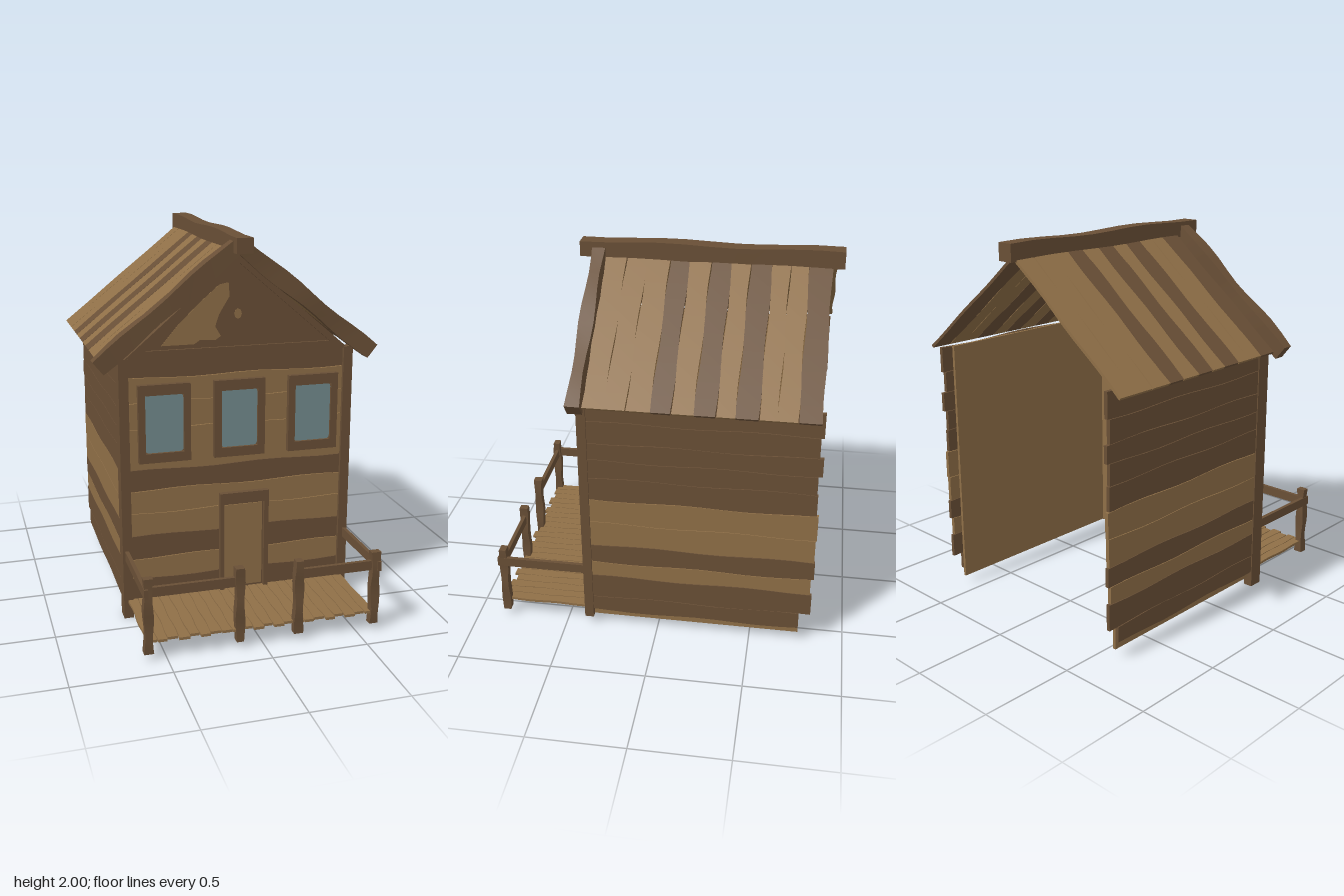
import * as THREE from 'three';

const mat = (name, color) => {
  const m = new THREE.MeshStandardMaterial({ color });
  m.name = name;
  return m;
};

export function createModel() {
  const root = new THREE.Group();
  root.name = 'cabin';
  const dark = mat('dark timber', 0x694f36);
  const tan = mat('light timber', 0x8f6f47);
  const glassMat = mat('window glass', 0x728b8e);

  const group = (name) => {
    const g = new THREE.Group();
    g.name = name;
    root.add(g);
    return g;
  };
  const add = (parent, name, geo, material, x, y, z) => {
    const m = new THREE.Mesh(geo, material);
    m.name = name;
    m.position.set(x, y, z);
    parent.add(m);
    return m;
  };
  const box = (parent, name, material, x0, x1, y0, y1, z0, z1) =>
    add(parent, name, new THREE.BoxGeometry(x1 - x0, y1 - y0, z1 - z0), material,
      (x0 + x1) / 2, (y0 + y1) / 2, (z0 + z1) / 2);

  // Rough-hewn timber: length on x, width on y, thickness on z, with wavy edges
  const timber = (length, width, thick, seed, amp = 0.005, ampZ = 0) => {
    const geo = new THREE.BoxGeometry(length, width, thick, 10, 1, 1);
    const p = geo.attributes.position;
    for (let i = 0; i < p.count; i++) {
      const x = p.getX(i), sy = Math.sign(p.getY(i)), sz = Math.sign(p.getZ(i));
      const t = (x / length) * 11;
      p.setY(i, p.getY(i) + amp * Math.sin(t + seed * 2.3 + sy * 1.1));
      p.setZ(i, p.getZ(i) + ampZ * sz * Math.sin(t + seed * 1.7));
    }
    geo.computeVertexNormals();
    return geo;
  };

  const shapeOf = (pts) => new THREE.Shape(pts.map(([x, y]) => new THREE.Vector2(x, y)));
  const extrude = (shape, depth) =>
    new THREE.ExtrudeGeometry(shape, { depth, bevelEnabled: false, curveSegments: 4 });

  // Inner walls, open at the back and below
  const walls = group('innerWalls');
  const frontShape = shapeOf([[-0.59, 0.05], [0.59, 0.05], [0.59, 1.4], [0, 1.88], [-0.59, 1.4]]);
  add(walls, 'frontInnerWall', extrude(frontShape, 0.015), tan, 0, 0, 0.345);
  for (const s of [-1, 1])
    box(walls, 'sideInnerWall', tan, s * 0.588 - 0.008, s * 0.588 + 0.008, 0.05, 1.385, -0.76, 0.36);

  // Side cladding: [bottom, top, dark, rear end]
  const sideRows = [
    [0.09, 0.185, 1, -0.76], [0.185, 0.32, 1, -0.82], [0.32, 0.41, 0, -0.81], [0.41, 0.52, 1, -0.825],
    [0.52, 0.66, 0, -0.82], [0.66, 0.8, 0, -0.825], [0.8, 0.93, 1, -0.815], [0.93, 1.035, 1, -0.81],
    [1.035, 1.135, 1, -0.83], [1.135, 1.255, 1, -0.81], [1.255, 1.385, 1, -0.825],
  ];
  const cladding = group('cladding');
  for (const s of [-1, 1])
    sideRows.forEach(([y0, y1, d, end], i) => {
      const m = add(cladding, 'sidePlank', timber(0.365 - end, y1 - y0 - 0.003, 0.02, i + s),
        d ? dark : tan, s * 0.606, (y0 + y1) / 2, (0.365 + end) / 2);
      m.rotation.y = Math.PI / 2;
    });

  // Front cladding: [bottom, top, dark]
  const frontRows = [
    [0.06, 0.21, 1], [0.21, 0.325, 0], [0.325, 0.45, 1], [0.45, 0.575, 0], [0.575, 0.7, 0],
    [0.7, 0.81, 1], [0.81, 1.03, 0], [1.03, 1.17, 0], [1.17, 1.295, 0], [1.295, 1.395, 1],
  ];
  frontRows.forEach(([y0, y1, d], i) =>
    add(cladding, 'frontPlank', timber(1.15, y1 - y0 - 0.003, 0.02, i), d ? dark : tan,
      0, (y0 + y1) / 2, 0.37));

  // Corner posts
  const posts = group('cornerPosts');
  box(posts, 'rightCornerPost', dark, -0.622, -0.572, 0, 1.4, 0.315, 0.395);
  box(posts, 'leftCornerPost', dark, 0.575, 0.625, 0.045, 1.4, 0.35, 0.398);

  // Framed opening with an inset panel
  const framed = (parent, name, x0, x1, y0, y1, ix0, ix1, iy0, iy1) => {
    const frame = shapeOf([[x0, y0], [x1, y0], [x1, y1], [x0, y1]]);
    frame.holes.push(new THREE.Path([[ix0, iy0], [ix0, iy1], [ix1, iy1], [ix1, iy0]]
      .map(([x, y]) => new THREE.Vector2(x, y))));
    add(parent, name, extrude(frame, 0.035), dark, 0, 0, 0.375);
  };

  // Windows with rounded panes
  for (const [cx, half] of [[-0.392, 0.1], [0.005, 0.097], [0.406, 0.099]]) {
    const g = group('window');
    framed(g, 'windowFrame', cx - 0.136, cx + 0.136, 0.855, 1.265, cx - half, cx + half, 0.905, 1.21);
    box(g, 'paneBacking', dark, cx - 0.11, cx + 0.11, 0.89, 1.23, 0.376, 0.39);
    const r = 0.02, a = cx - half, b = cx + half, c = 0.905, d = 1.21;
    const pane = new THREE.Shape();
    pane.moveTo(a + r, c).lineTo(b - r, c).quadraticCurveTo(b, c, b, c + r).lineTo(b, d - r);
    pane.quadraticCurveTo(b, d, b - r, d).lineTo(a + r, d).quadraticCurveTo(a, d, a, d - r);
    pane.lineTo(a, c + r).quadraticCurveTo(a, c, a + r, c);
    add(g, 'pane', extrude(pane, 0.006), glassMat, 0, 0, 0.39);
  }

  // Door
  const door = group('door');
  framed(door, 'doorFrame', -0.1, 0.168, 0.08, 0.65, -0.078, 0.143, 0.095, 0.588);
  box(door, 'doorBorder', dark, -0.08, 0.145, 0.09, 0.59, 0.376, 0.388);
  box(door, 'doorLeaf', tan, -0.07, 0.135, 0.115, 0.58, 0.388, 0.396);

  // Gable: panel, raised triangular trim and worn patches
  const gable = group('gable');
  const tri = [[-0.6, 1.39], [0.6, 1.39], [0, 1.9]];
  add(gable, 'gablePanel', extrude(shapeOf(tri), 0.02), dark, 0, 0, 0.36);
  const trim = shapeOf(tri);
  trim.holes.push(shapeOf([[-0.485, 1.435], [0, 1.86], [0.495, 1.435]]));
  add(gable, 'gableTrim', extrude(trim, 0.014), dark, 0, 0, 0.379);
  const worn = [[-0.4, 1.455], [-0.23, 1.455], [-0.2, 1.475], [-0.12, 1.47], [-0.09, 1.49], [-0.12, 1.54],
    [-0.1, 1.6], [-0.07, 1.65], [-0.045, 1.69], [-0.05, 1.76], [-0.1, 1.75], [-0.2, 1.665], [-0.31, 1.56]];
  add(gable, 'wornPatch', extrude(shapeOf(worn), 0.003), tan, 0, 0, 0.379);
  const spot = new THREE.Shape().absellipse(0, 1.6, 0.02, 0.027, 0, Math.PI * 2);
  add(gable, 'wornSpot', extrude(spot, 0.003), tan, 0, 0, 0.379);

  // Roof: one pitch of planks, repeated by a half turn for the other
  const pitch = Math.atan2(0.56, 0.7);
  const edges = [0.345, 0.235, 0.13, 0.01, -0.09, -0.2, -0.305, -0.4, -0.51, -0.6, -0.695, -0.81];
  const darkRows = [3, 5, 7, 10];
  const roof = group('roof');
  for (const s of [1, -1]) {
    const side = new THREE.Group();
    side.name = s > 0 ? 'leftRoofPitch' : 'rightRoofPitch';
    if (s < 0) {
      side.rotation.y = Math.PI;
      side.position.z = -0.49;
    }
    roof.add(side);
    const slope = new THREE.Group();
    slope.name = 'roofSlope';
    slope.position.set(0.355, 1.652, 0);
    slope.rotation.z = -pitch;
    side.add(slope);
    for (let i = 0; i < edges.length - 1; i++) {
      const m = add(slope, 'roofPlank', timber(0.895, edges[i] - edges[i + 1] - 0.002, 0.016, i * 1.3, 0.004),
        darkRows.includes(i) ? dark : tan, 0, 0, (edges[i] + edges[i + 1]) / 2);
      m.rotation.x = Math.PI / 2;
    }
    // Bargeboard at the front gable
    const b = add(roof, 'bargeboard', timber(0.93, 0.085, 0.066, s, 0.006, 0.006), dark, s * 0.362, 1.658, 0.382);
    b.rotation.z = -s * pitch;
  }
  const ridge = add(roof, 'ridgeBeam', timber(1.35, 0.088, 0.082, 1, 0.006, 0.003), dark, 0.005, 1.95, -0.195);
  ridge.rotation.y = Math.PI / 2;

  // Porch deck
  const porch = group('porch');
  const count = 22, step = 1.2 / count;
  for (let i = 0; i < count; i++) {
    const len = 0.465 + 0.012 * Math.sin(i * 2.7);
    const m = add(porch, 'deckPlank', timber(len, step - 0.004, 0.014, i * 1.9, 0.003), tan,
      -0.6 + (i + 0.5) * step, 0.095, 0.385 + len / 2);
    m.rotation.set(Math.PI / 2, 0, Math.PI / 2);
  }

  // Porch posts and rails
  [-0.588, -0.125, 0.183, 0.595].forEach((x, i) => {
    const m = add(porch, 'porchPost', timber(0.395, 0.044, 0.042, i, 0.004, 0.003), dark, x, 0.232, 0.842);
    m.rotation.z = Math.PI / 2;
  });
  box(porch, 'frontRail', dark, -0.605, -0.105, 0.33, 0.38, 0.83, 0.85);
  box(porch, 'frontRail', dark, 0.165, 0.615, 0.33, 0.38, 0.83, 0.85);
  for (const x of [-0.6, 0.61]) box(porch, 'sideRail', dark, x - 0.01, x + 0.01, 0.33, 0.38, 0.36, 0.872);

  return root;
}
